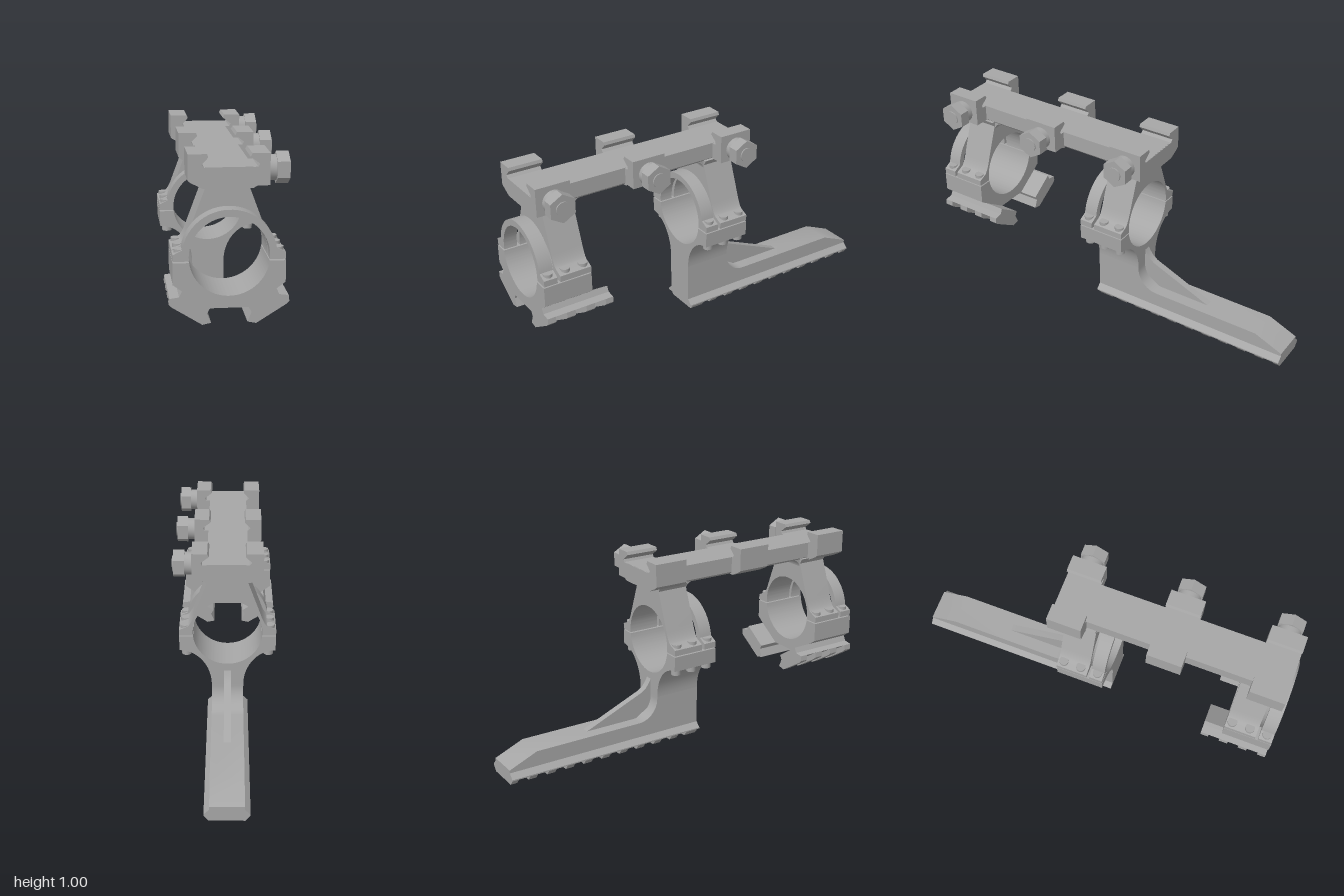
import * as THREE from 'three';
import { toCreasedNormals } from 'three/addons/utils/BufferGeometryUtils.js';

const metal = new THREE.MeshStandardMaterial({ color: 0xa6a6a6 });
metal.name = 'grey metal';

const CY = 0.555, BORE = 0.177, HALF = 0.0815; // ring centre height, bore radius, half stem width
const mirrored = (pts) => [...pts, ...[...pts].reverse().map(([x, y]) => [-x, y])];
const shapeOf = (pts) => new THREE.Shape(pts.map(([x, y]) => new THREE.Vector2(x, y)));
const arcPts = (cx, cy, rx, ry, a0, a1, n = 12) => Array.from({ length: n + 1 }, (_, i) => {
  const a = a0 + (a1 - a0) * i / n;
  return [cx + rx * Math.cos(a), cy + ry * Math.sin(a)];
});

export function createModel() {
  const model = new THREE.Group();
  model.name = 'ringMount';

  const add = (geo, name, parent = model) => {
    const mesh = new THREE.Mesh(geo, metal);
    mesh.name = name;
    parent.add(mesh);
    return mesh;
  };
  // Profile in x/y, swept from z0 to z1
  const sweepZ = (shape, z0, z1, name, parent) => {
    const geo = new THREE.ExtrudeGeometry(shape, { depth: z1 - z0, bevelEnabled: false, curveSegments: 40 });
    geo.translate(0, 0, z0);
    return add(toCreasedNormals(geo, 0.5), name, parent);
  };
  // Profile in z/y, centred across x with the given width
  const sweepX = (pts, width, name, parent) => {
    const geo = new THREE.ExtrudeGeometry(shapeOf(pts), { depth: width, bevelEnabled: false });
    geo.rotateY(-Math.PI / 2).translate(width / 2, 0, 0);
    return add(toCreasedNormals(geo, 0.5), name, parent);
  };
  // Half ring: mirrored outline closed by an arc of the bore
  const halfRing = (outline, upper) => {
    const y = upper ? 0.538 : 0.532;
    const a = Math.asin((CY - y) / BORE);
    const s = shapeOf(mirrored([[BORE * Math.cos(a), y], [0.247, y], ...outline]));
    if (upper) s.absarc(0, CY, BORE, Math.PI + a, -a, true);
    else s.absarc(0, CY, BORE, Math.PI + a, 2 * Math.PI - a, false);
    return s;
  };

  const rings = new THREE.Group();
  rings.name = 'rings';
  rings.position.x = -0.005;
  model.add(rings);

  // Upper halves: pillar, thin strap and screws
  const wall = new THREE.QuadraticBezierCurve(new THREE.Vector2(0.202, 0.588),
    new THREE.Vector2(0.183, 0.605), new THREE.Vector2(0.165, 0.66)).getPoints(6).map((p) => [p.x, p.y]);
  const pillar = halfRing([[0.247, 0.568], ...wall, [0.1, 0.835], [0.116, 0.862]], true);
  const strap = halfRing([[0.247, 0.568], ...arcPts(0, CY, 0.209, 0.209, 0.16, Math.PI / 2, 20).slice(0, -1)], true);
  const screw = (x, y, z, h, name) =>
    add(new THREE.CylinderGeometry(0.024, 0.024, h, 20).translate(x, y, z), name, rings);
  for (const z of [0.75, -0.155]) {
    sweepZ(pillar, z, z + 0.163, 'pillar', rings);
    sweepZ(strap, z + 0.178, z + 0.247, 'strap', rings);
    for (const dz of [0.03, 0.122, 0.213]) {
      for (const x of [-0.216, 0.216]) {
        screw(x, 0.574, z + dz, 0.03, 'capScrew');
        screw(x * 0.97, 0.44, z + dz, 0.03, 'lowerScrew');
      }
    }
  }

  // Front lower half with its two angled accessory rails
  sweepZ(halfRing([[0.247, 0.434], [0.207, 0.405], [0.085, 0.323]], false), 0.75, 1, 'frontLowerRing', rings);
  const railBase = [[0.207, 0.405], [0.22, 0.378], [0.262, 0.372], [0.08, 0.256], [0.098, 0.3], [0.085, 0.323]];
  const railTooth = [[0.262, 0.372], [0.265, 0.345], [0.252, 0.332], [0.119, 0.248], [0.08, 0.256]];
  for (const side of [1, -1]) {
    const flip = (pts) => shapeOf(pts.map(([x, y]) => [x * side, y]));
    sweepZ(flip(railBase), 0.648, 1, 'sideRail', rings);
    for (const [z0, z1] of [[0.648, 0.69], [0.749, 0.795], [0.853, 0.899], [0.958, 1]])
      sweepZ(flip(railTooth), z0, z1, 'sideRailTooth', rings);
  }

  // Rear lower half flaring down into the stem
  const flare = arcPts(0.245, 0.26, 0.245 - HALF, 0.195, Math.PI / 2, Math.PI, 16);
  sweepZ(halfRing(flare, false), -0.155, 0.093, 'rearLowerRing', rings);

  // Stem and long foot, with a rounded inner corner
  const inner = arcPts(-0.265, 0.25, 0.11, 0.112, 0, -Math.PI / 2, 12);
  sweepX([[0.093, 0.06], [0.093, 0.26], [-0.155, 0.26], ...inner,
    [-0.85, 0.138], [-1, 0.075], [-1, 0.06]], HALF * 2, 'stemAndFoot', rings);
  sweepX([[-0.15, 0.35], [-0.165, 0.32], [-0.185, 0.293], [-0.21, 0.275], [-0.54, 0.137], [-0.26, 0.13], [-0.15, 0.2]],
    0.036, 'gusset', rings);

  // Toothed rail under the foot
  sweepZ(shapeOf(mirrored([[HALF, 0.06], [0.108, 0.034], [0.108, 0.028]])), -1, 0.093, 'footRail', rings);
  const footTooth = shapeOf(mirrored([[0.108, 0.028], [0.085, 0]]));
  sweepZ(footTooth, 0.01, 0.08, 'footRailTooth', rings);
  for (let i = 0; i < 10; i++) {
    const z1 = -0.04 - i * 0.1028;
    sweepZ(footTooth, Math.max(z1 - 0.043, -1), z1, 'footRailTooth', rings);
  }

  // Top bridge with rounded corners into the pillars
  sweepZ(shapeOf([[-0.108, 0.945], [-0.108, 0.866], [-0.098, 0.855], [0.088, 0.855], [0.098, 0.866], [0.098, 0.945]]),
    -0.215, 0.975, 'bridge');
  for (const [z, d] of [[0.752, -1], [0.006, 1]])
    sweepX([[z, 0.86], ...arcPts(z + d * 0.05, 0.806, 0.05, 0.052, d > 0 ? Math.PI : 0, Math.PI / 2, 8),
      [z + d * 0.05, 0.86]], 0.19, 'bridgeFillet', rings);

  // Clamps with hooked jaws and cross nuts
  const jaws = shapeOf([[-0.183, 1.003], [-0.183, 0.888], [-0.172, 0.879], [-0.118, 0.852], [0.1, 0.852], [0.118, 0.862],
    [0.172, 0.862], [0.172, 1.003], [0.094, 1.003], [0.086, 0.988], [0.127, 0.957], [0.12, 0.944],
    [-0.113, 0.944], [-0.125, 0.957], [-0.095, 0.988], [-0.1, 1.003]]);
  const across = (r, x0, x1, z, sides, name) => {
    const geo = new THREE.CylinderGeometry(r, r, x1 - x0, sides);
    if (sides === 6) geo.rotateY(Math.PI / 6);
    geo.rotateZ(Math.PI / 2).translate((x0 + x1) / 2, 0.922, z);
    add(toCreasedNormals(geo, 0.5), name);
  };
  for (const z of [0.887, 0.378, -0.13]) {
    sweepZ(jaws, z - 0.088, z + 0.088, 'clamp');
    across(0.057, 0.17, 0.21, z, 28, 'washer');
    across(0.072, 0.208, 0.264, z, 6, 'hexNut');
    across(0.036, 0.26, 0.27, z, 24, 'boltEnd');
  }
  return model;
}
